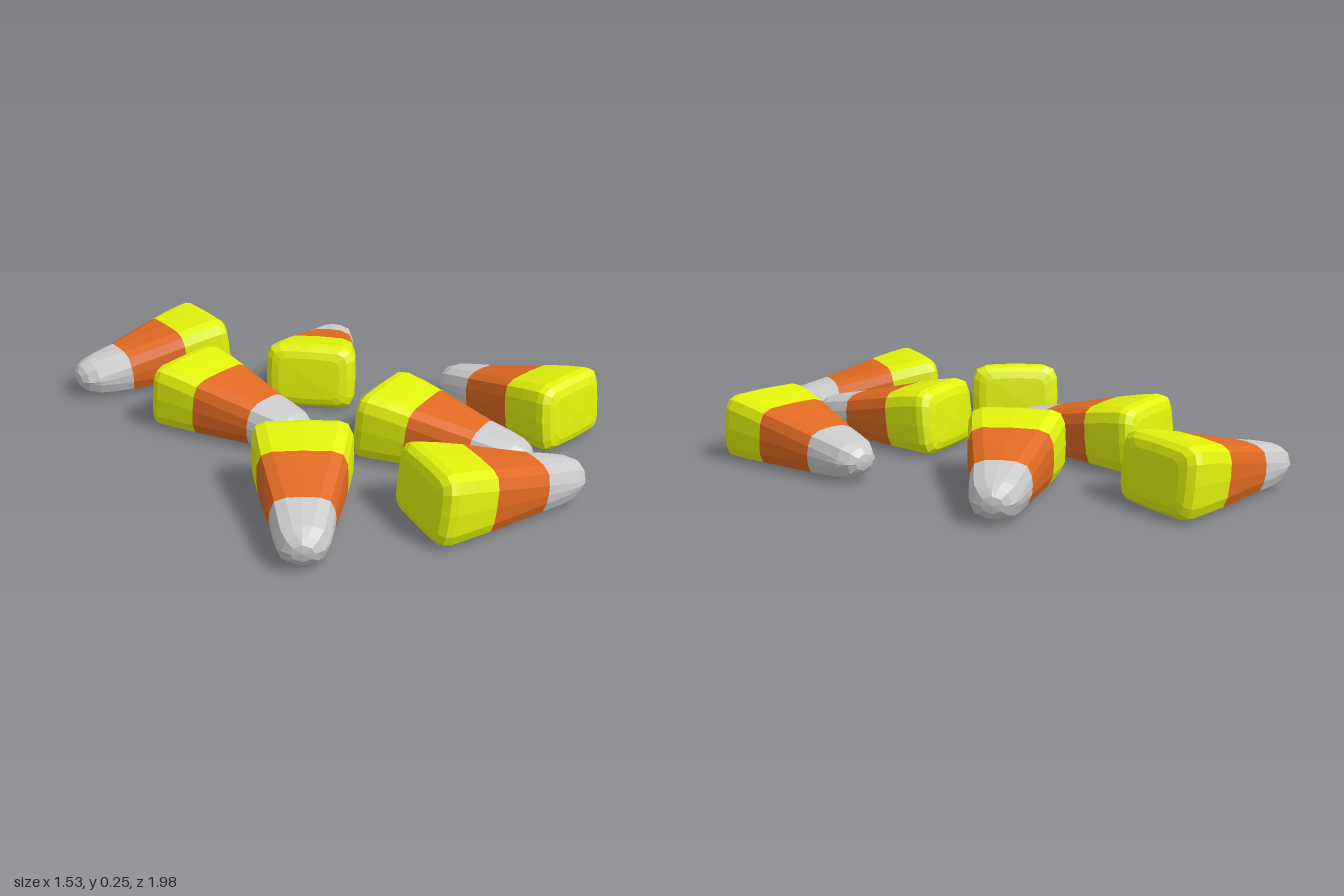
import * as THREE from 'three';

// Rings along a candy: [distance from base, half width, bottom y, top y, corner radius]
const BASE = [
  [0.0, 0.12, 0.045, 0.205, 0.03],
  [0.008, 0.148, 0.022, 0.23, 0.035],
  [0.026, 0.17, 0.006, 0.245, 0.045],
  [0.05, 0.174, 0, 0.249, 0.05],
  [0.12, 0.164, 0, 0.238, 0.05],
  [0.207, 0.15, 0, 0.22, 0.05],
];
const MIDDLE = [
  [0.207, 0.15, 0, 0.22, 0.05],
  [0.32, 0.127, 0, 0.194, 0.05],
  [0.428, 0.105, 0, 0.17, 0.05],
];
const TIP = [
  [0.428, 0.105, 0, 0.17, 0.05],
  [0.5, 0.094, 0.002, 0.157, 0.05],
  [0.56, 0.083, 0.008, 0.144, 0.05],
  [0.597, 0.064, 0.022, 0.128, 0.045],
  [0.615, 0.04, 0.045, 0.106, 0.028],
];

// Base centre (x, z) and tip (x, z) of every candy
const LAYOUT = [
  [0.037, -0.825, -0.57, -0.883],
  [0.047, -0.205, 0.52, -0.6],
  [-0.344, -0.507, -0.206, 0.09],
  [-0.34, 0.238, -0.725, 0.715],
  [0.042, 0.17, 0.243, 0.754],
  [-0.28, 0.733, 0.3, 0.907],
  [0.598, 0.65, 0.545, 0.033],
];

const COUNT = 16;

// Rounded rectangle cross-section, running from +z towards +y
function ringPoints([s, halfW, y0, y1, r]) {
  const halfH = (y1 - y0) / 2;
  const midY = (y0 + y1) / 2;
  const points = [];
  for (let q = 0; q < 4; q++) {
    const a = (q * Math.PI) / 2;
    // Side middle, then three points around the corner
    points.push([Math.cos(a) * halfW, Math.sin(a) * halfH]);
    const sz = q === 0 || q === 3 ? 1 : -1;
    const sy = q < 2 ? 1 : -1;
    for (let k = 0; k < 3; k++) {
      const t = a + (k * Math.PI) / 4;
      const bulge = 0.003; // keeps the sides slightly convex
      points.push([
        sz * (halfW - r - bulge) + Math.cos(t) * r,
        sy * (halfH - r - bulge) + Math.sin(t) * r,
      ]);
    }
  }
  // Rings lean with the candy axis, which slopes down to the tip
  return points.map(([z, y]) => [s + (midY + y - 0.12) * 0.1, midY + y, z]);
}

// Skin between consecutive rings, with an optional cap at either end
function loft(rings, capStart, capEnd) {
  const positions = [];
  const index = [];
  rings.forEach((ring) => ringPoints(ring).forEach((p) => positions.push(...p)));
  for (let i = 0; i < rings.length - 1; i++) {
    for (let j = 0; j < COUNT; j++) {
      const k = (j + 1) % COUNT;
      const a = i * COUNT + j, b = a + COUNT;
      const d = i * COUNT + k, c = d + COUNT;
      index.push(a, b, c, a, c, d);
    }
  }
  const cap = (i, push) => {
    const [s, , y0, y1] = rings[i];
    const midY = (y0 + y1) / 2;
    const centre = positions.length / 3;
    positions.push(s + push + (midY - 0.12) * 0.1, midY, 0);
    for (let j = 0; j < COUNT; j++) {
      const a = i * COUNT + j, b = i * COUNT + ((j + 1) % COUNT);
      if (push < 0) index.push(centre, a, b);
      else index.push(centre, b, a);
    }
  };
  if (capStart) cap(0, -0.003);
  if (capEnd) cap(rings.length - 1, 0.005);
  const geometry = new THREE.BufferGeometry();
  geometry.setAttribute('position', new THREE.Float32BufferAttribute(positions, 3));
  geometry.setIndex(index);
  geometry.computeVertexNormals();
  return geometry;
}

export function createModel() {
  const model = new THREE.Group();
  model.name = 'candyPieces';
  const material = (color) => new THREE.MeshStandardMaterial({ color, flatShading: true });
  const bands = [
    ['yellowBase', loft(BASE, true, false), material(0xe2f20c)],
    ['orangeMiddle', loft(MIDDLE, false, false), material(0xe06a22)],
    ['paleTip', loft(TIP, false, true), material(0xcccccc)],
  ];

  LAYOUT.forEach(([x, z, tipX, tipZ], i) => {
    const candy = new THREE.Group();
    candy.name = `candy${i + 1}`;
    bands.forEach(([name, geometry, mat]) => {
      const mesh = new THREE.Mesh(geometry, mat);
      mesh.name = name;
      candy.add(mesh);
    });
    candy.position.set(x, 0, z);
    candy.rotation.y = Math.atan2(z - tipZ, tipX - x);
    model.add(candy);
  });
  return model;
}
